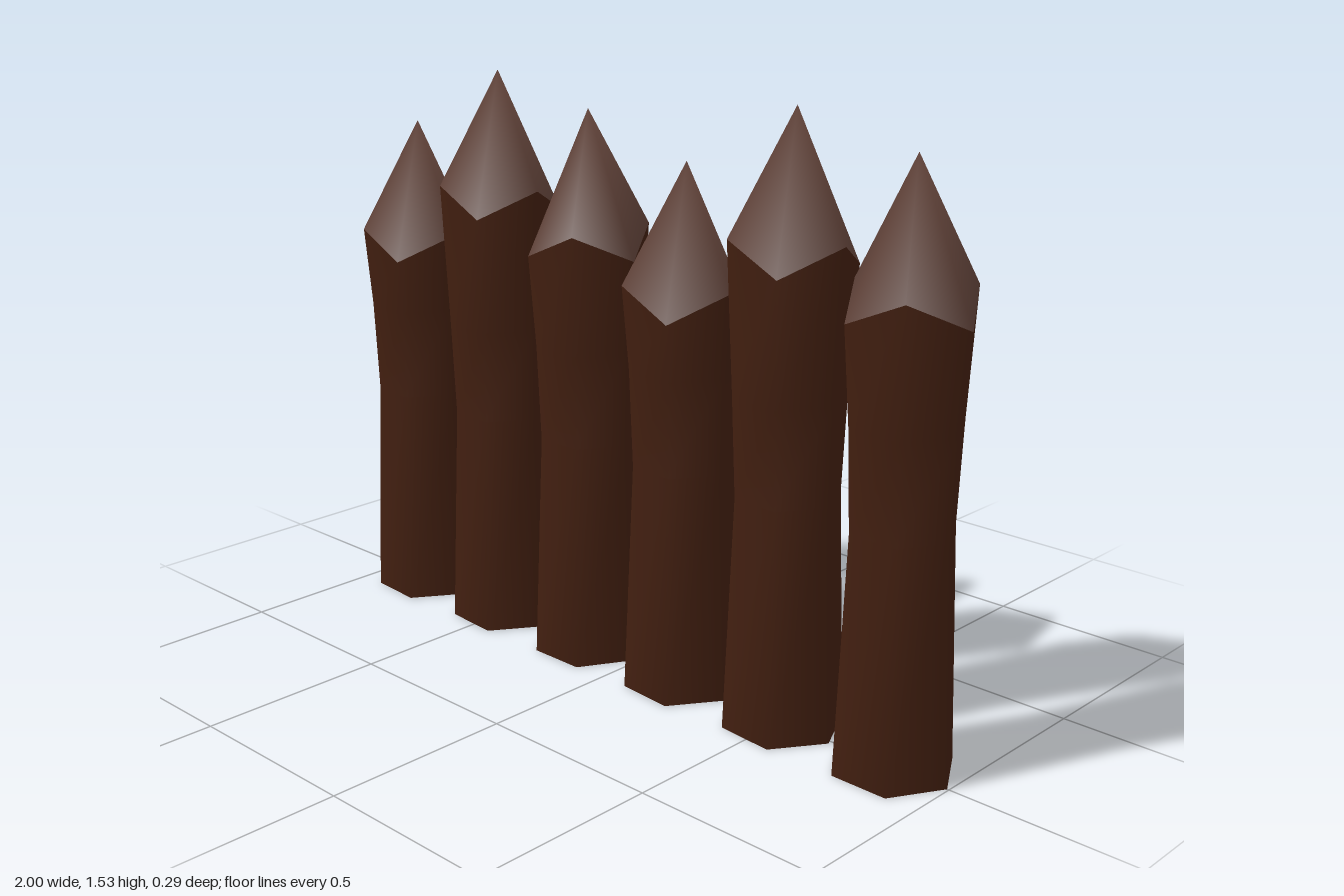
import * as THREE from 'three';

const SIDES = 6;

// Skin a stack of hexagonal rings; rings are { r, y, zig }, zig lifts and drops alternate corners
function skinRings(rings, turn, apexY) {
  const pos = [], index = [];
  for (const { r, y, zig = 0 } of rings) {
    for (let k = 0; k < SIDES; k++) {
      const a = (k / SIDES) * Math.PI * 2 + turn;
      pos.push(r * Math.cos(a), y + (k % 2 ? -zig : zig), r * Math.sin(a));
    }
  }
  for (let i = 0; i < rings.length - 1; i++) {
    for (let k = 0; k < SIDES; k++) {
      const a = i * SIDES + k, b = i * SIDES + (k + 1) % SIDES;
      index.push(a, a + SIDES, b, b, a + SIDES, b + SIDES);
    }
  }
  // Close the last ring to a shared point
  if (apexY !== undefined) {
    const apex = pos.length / 3, base = (rings.length - 1) * SIDES;
    pos.push(0, apexY, 0);
    for (let k = 0; k < SIDES; k++) index.push(base + k, apex, base + (k + 1) % SIDES);
  }
  const geo = new THREE.BufferGeometry();
  geo.setAttribute('position', new THREE.Float32BufferAttribute(pos, 3));
  geo.setIndex(index);
  geo.computeVertexNormals();
  return geo;
}

export function createModel() {
  const bark = new THREE.MeshStandardMaterial({ color: 0x421f10 });
  const cutWood = new THREE.MeshStandardMaterial({ color: 0x5d4037 });

  // Three kinds of stake, repeated along the fence
  const kinds = [
    { rimY: 1.03, tipY: 1.365, zig: 0.035, turn: 0.08 },
    { rimY: 1.193, tipY: 1.53, zig: 0.035, turn: 0.08 },
    { rimY: 1.125, tipY: 1.46, zig: -0.035, turn: 0 },
  ];

  const fence = new THREE.Group();
  fence.name = 'palisade';
  for (let i = 0; i < 6; i++) {
    const { rimY, tipY, zig, turn } = kinds[i % 3];
    const stake = new THREE.Group();
    stake.name = `stake${i + 1}`;
    stake.position.x = (i - 2.5) * 0.336;

    const add = (name, geo, mat) => {
      const mesh = new THREE.Mesh(geo, mat);
      mesh.name = name;
      stake.add(mesh);
    };
    const rim = { r: 0.16, y: rimY, zig };

    // Trunk with a narrow waist, flaring to the uneven rim
    add('trunk', skinRings([
      { r: 0.155, y: 0 }, { r: 0.132, y: 0.6 }, { r: 0.142, y: 0.85 }, rim,
    ], turn), bark);

    // Sharpened point
    add('point', skinRings([rim], turn, tipY), cutWood);

    // Flat underside
    const base = new THREE.CircleGeometry(0.155, SIDES).rotateX(Math.PI / 2).rotateY(-turn);
    add('base', base, bark);

    fence.add(stake);
  }
  return fence;
}
